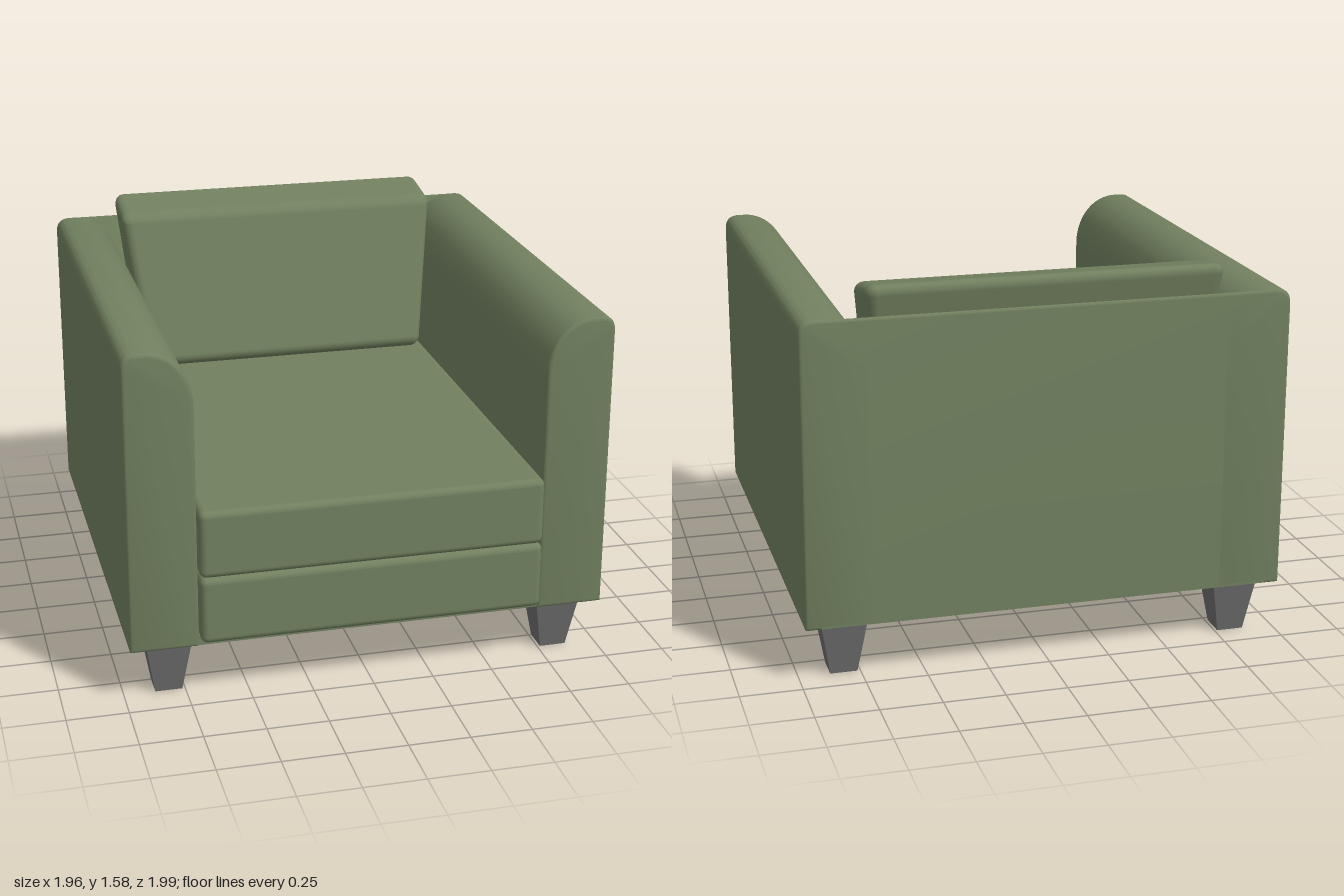
import * as THREE from 'three';
import { mergeVertices, toCreasedNormals } from 'three/addons/utils/BufferGeometryUtils.js';
import { RoundedBoxGeometry } from 'three/addons/geometries/RoundedBoxGeometry.js';

const fabric = new THREE.MeshStandardMaterial({ color: 0x71805f });
fabric.name = 'green fabric';
const legGrey = new THREE.MeshStandardMaterial({ color: 0x6c6c6c });
legGrey.name = 'grey leg';

// Extrudes a shape by a total depth centred on z = 0, with softly bevelled ends
function softExtrude(shape, total, bevel) {
  const depth = total - 2 * bevel;
  const geo = new THREE.ExtrudeGeometry(shape, {
    depth, curveSegments: 14,
    bevelEnabled: true, bevelThickness: bevel, bevelSize: bevel, bevelOffset: -bevel, bevelSegments: 3,
  });
  geo.translate(0, 0, -depth / 2);
  return toCreasedNormals(geo, 0.6);
}

// Arm: straight outside, tight outer corner, broad curve on the inside
function armGeometry() {
  const s = new THREE.Shape();
  s.moveTo(0.705, 0.235);
  s.lineTo(0.98, 0.235);
  s.lineTo(0.98, 1.415);
  s.quadraticCurveTo(0.98, 1.475, 0.92, 1.475);
  s.lineTo(0.89, 1.475);
  s.bezierCurveTo(0.79, 1.475, 0.705, 1.38, 0.705, 1.25);
  s.closePath();
  return softExtrude(s, 1.95, 0.015);
}

// Backrest: vertical behind, sloping forward towards the seat
function backGeometry() {
  const s = new THREE.Shape();
  s.moveTo(-0.99, 0.24);
  s.lineTo(-0.74, 0.24);
  s.lineTo(-0.972, 1.46);
  s.quadraticCurveTo(-0.974, 1.473, -0.98, 1.473);
  s.quadraticCurveTo(-0.99, 1.473, -0.99, 1.46);
  s.closePath();
  const geo = new THREE.ExtrudeGeometry(s, { depth: 1.84, bevelEnabled: false, curveSegments: 4 });
  geo.translate(0, 0, -0.92);
  geo.rotateY(-Math.PI / 2);
  return toCreasedNormals(geo, 0.6);
}

// Loose cushion: a rounded box warped so it leans back and widens upward
function cushionGeometry() {
  const w = 1.44, h = 0.72, d = 0.26;
  const geo = new RoundedBoxGeometry(w, h, d, 5, 0.045);
  geo.deleteAttribute('normal');
  geo.deleteAttribute('uv');
  const p = geo.attributes.position;
  const mix = THREE.MathUtils.lerp;
  for (let i = 0; i < p.count; i++) {
    const up = p.getY(i) / h + 0.5;
    const front = p.getZ(i) / d + 0.5;
    const x = p.getX(i) * mix(0.885, 1, up);
    const y = mix(mix(0.80, 1.59, up), mix(0.88, 1.545, up), front);
    const z = mix(mix(-0.80, -0.965, up), mix(-0.535, -0.70, up), front);
    p.setXYZ(i, x, y, z);
  }
  const smooth = mergeVertices(geo, 1e-4);
  smooth.computeVertexNormals();
  return smooth;
}

export function createModel() {
  const model = new THREE.Group();
  model.name = 'armchair';
  const add = (name, geo, mat, x = 0, y = 0, z = 0) => {
    const mesh = new THREE.Mesh(geo, mat);
    mesh.name = name;
    mesh.position.set(x, y, z);
    model.add(mesh);
    return mesh;
  };

  // Arms, the right one turned half round
  const arm = armGeometry();
  add('leftArm', arm, fabric, 0, 0, -0.015);
  add('rightArm', arm, fabric, 0, 0, -0.015).rotation.y = Math.PI;

  // Back and underside
  add('backrest', backGeometry(), fabric);
  add('underside', new THREE.BoxGeometry(1.92, 0.04, 1.92), fabric, 0, 0.256, -0.015);

  // Two stacked seat blocks
  const seat = new RoundedBoxGeometry(1.405, 0.282, 1.9, 4, 0.028);
  add('seatBase', seat, fabric, 0, 0.401, 0.05);
  add('seatCushion', seat, fabric, 0, 0.683, 0.05);
  add('backCushion', cushionGeometry(), fabric);

  // Tapered square legs
  const leg = new THREE.CylinderGeometry(0.095 * Math.SQRT2, 0.055 * Math.SQRT2, 0.24, 4).toNonIndexed();
  leg.rotateY(Math.PI / 4);
  leg.computeVertexNormals();
  for (const x of [-0.817, 0.817]) {
    for (const z of [-0.83, 0.8]) {
      add((z > 0 ? 'front' : 'back') + (x > 0 ? 'Left' : 'Right') + 'Leg', leg, legGrey, x, 0.12, z);
    }
  }
  return model;
}
